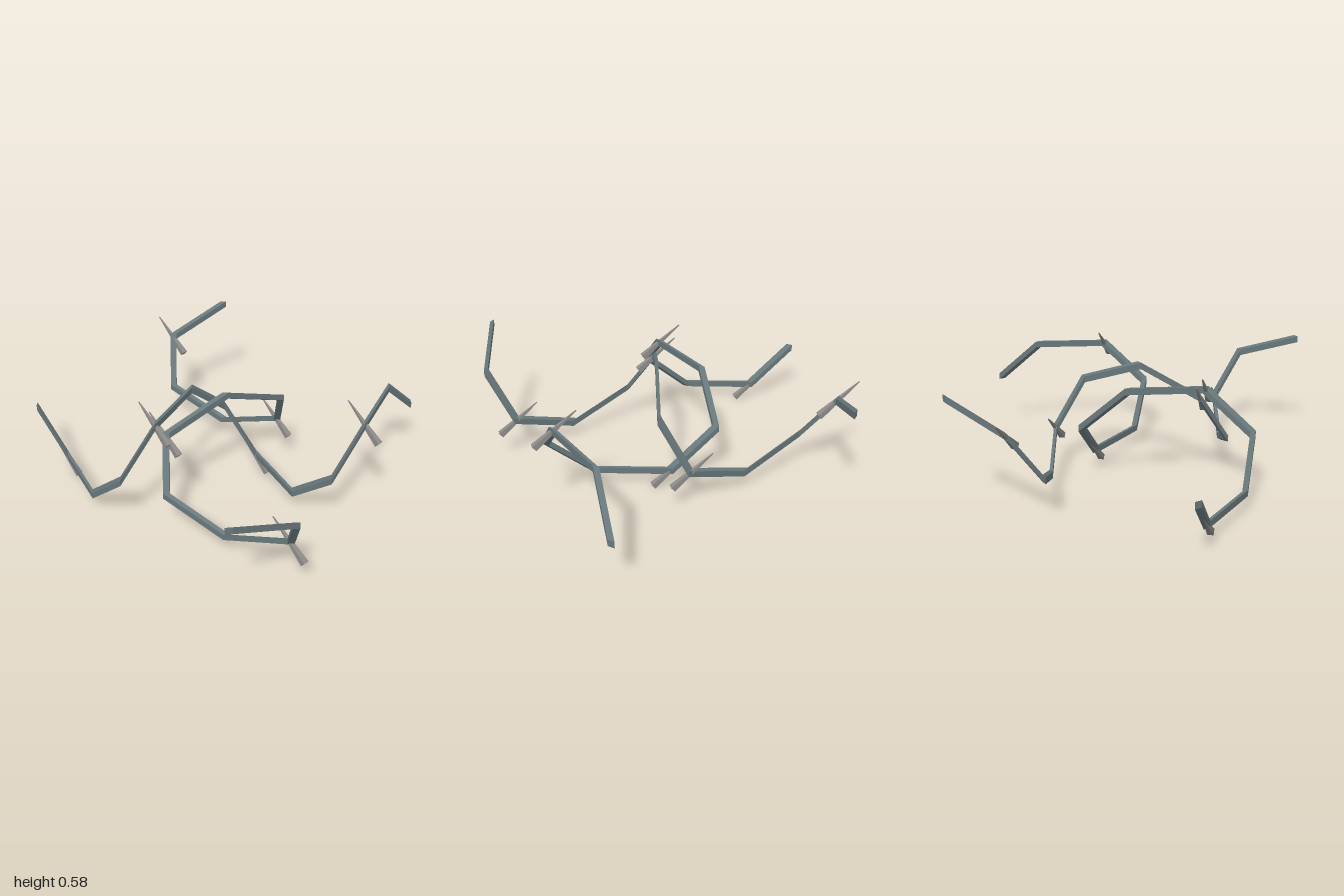
import * as THREE from 'three';

const wireMaterial = new THREE.MeshStandardMaterial({ color: 0x68787c });
wireMaterial.name = 'blue grey steel';
const barbMaterial = new THREE.MeshStandardMaterial({ color: 0x8e8c8a });
barbMaterial.name = 'light grey steel';

const STEPS = 12, LENGTH = 2, RADIUS_ACROSS = 0.33, RADIUS_UP = 0.237, HALF_WIDTH = 0.0165;
const UP = new THREE.Vector3(0, 1, 0);

function faceted(geometry) {
  const flat = geometry.toNonIndexed();
  flat.computeVertexNormals();
  return flat;
}

// Square wire coiled around an axis; u and v span the coil plane.
// Its section keeps the same upright orientation along the whole coil.
function coil({ u, v, axis, centerY }) {
  const radius = (d) => (d.y !== 0 ? RADIUS_UP : RADIUS_ACROSS);
  const centers = [], positions = [], indices = [];
  const corners = [[1, -1], [1, 1], [-1, 1], [-1, -1]];
  if (u.clone().cross(v).dot(axis) < 0) corners.reverse();
  for (let i = 0; i <= STEPS; i++) {
    const angle = i * Math.PI / 3;
    const center = new THREE.Vector3(0, centerY, 0)
      .addScaledVector(u, Math.cos(angle) * radius(u))
      .addScaledVector(v, Math.sin(angle) * radius(v))
      .addScaledVector(axis, -LENGTH / 2 + LENGTH * i / STEPS);
    centers.push(center);
    for (const [a, b] of corners) {
      const p = center.clone().addScaledVector(u, HALF_WIDTH * a).addScaledVector(v, HALF_WIDTH * b);
      positions.push(p.x, p.y, p.z);
    }
    if (i === STEPS) continue;
    for (let k = 0; k < 4; k++) {
      const a = i * 4 + k, b = i * 4 + (k + 1) % 4;
      indices.push(a, b, b + 4, a, b + 4, a + 4);
    }
  }
  // End caps
  const e = STEPS * 4;
  indices.push(0, 3, 2, 0, 2, 1, e, e + 1, e + 2, e, e + 2, e + 3);
  const geometry = new THREE.BufferGeometry();
  geometry.setAttribute('position', new THREE.Float32BufferAttribute(positions, 3));
  geometry.setIndex(indices);
  return { geometry: faceted(geometry), centers };
}

export function createModel() {
  const model = new THREE.Group();
  model.name = 'barbedWire';

  // Four-sided spike, pointed at its upper end
  const tip = new THREE.Vector3(-0.08, 0.085, -0.077);
  const base = new THREE.Vector3(0.06, -0.075, 0.064);
  const direction = tip.clone().sub(base);
  const barbGeometry = faceted(new THREE.CylinderGeometry(0.003, 0.021, direction.length(), 4));
  const barbMiddle = tip.clone().add(base).multiplyScalar(0.5);
  direction.normalize();

  const coils = [
    { name: 'lengthwiseCoil', u: new THREE.Vector3(0, 1, 0), v: new THREE.Vector3(1, 0, 0),
      axis: new THREE.Vector3(0, 0, -1), centerY: 0.325 },
    { name: 'crosswiseCoil', u: new THREE.Vector3(0, 0, -1), v: new THREE.Vector3(0, 1, 0),
      axis: new THREE.Vector3(-1, 0, 0), centerY: 0.295 },
  ];
  for (const spec of coils) {
    const group = new THREE.Group();
    group.name = spec.name;
    const { geometry, centers } = coil(spec);
    const wire = new THREE.Mesh(geometry, wireMaterial);
    wire.name = 'wire';
    group.add(wire);
    // A barb at every third bend
    for (let i = 2; i < STEPS; i += 3) {
      const barb = new THREE.Mesh(barbGeometry, barbMaterial);
      barb.name = 'barb';
      barb.position.copy(centers[i]).add(barbMiddle);
      barb.quaternion.setFromUnitVectors(UP, direction);
      group.add(barb);
    }
    model.add(group);
  }
  return model;
}
